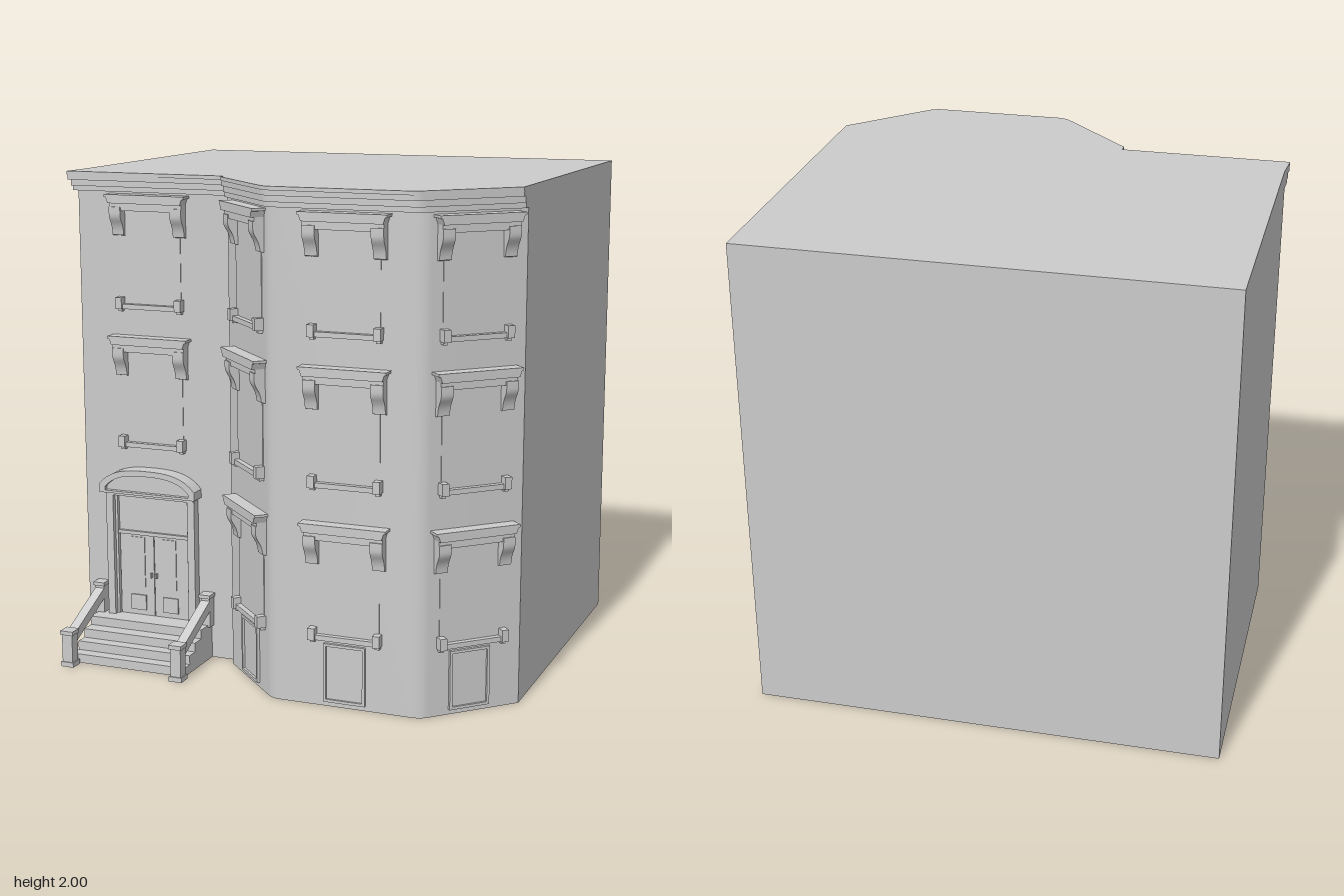
import * as THREE from 'three';
import { toCreasedNormals } from 'three/addons/utils/BufferGeometryUtils.js';

const mat = new THREE.MeshStandardMaterial({ color: 0xcccccc, side: THREE.DoubleSide });
const WALL_Z = 0.425;   // entrance wall
const BAY_Z = 0.775;    // front of the bay

function add(parent, name, geo, x = 0, y = 0, z = 0) {
  const m = new THREE.Mesh(geo, mat);
  m.name = name;
  m.position.set(x, y, z);
  parent.add(m);
  return m;
}

// Box given by its centre x, its y range and its z range
function block(parent, name, w, x, y0, y1, z0, z1) {
  return add(parent, name, new THREE.BoxGeometry(w, y1 - y0, z1 - z0), x, (y0 + y1) / 2, (z0 + z1) / 2);
}

function extrude(shape, depth) {
  const g = new THREE.ExtrudeGeometry(shape, { depth, bevelEnabled: false, curveSegments: 10 });
  return toCreasedNormals(g, 0.6);
}

// Horizontal slab in the house plan, its street side pushed out by d
function planSlab(y0, y1, d) {
  const k = d * 0.85;                       // shift of the slanted bay sides along z
  const f = BAY_Z + d, lx = f - 0.74 - k, rx = 1.42 + k - f;
  const s = new THREE.Shape();
  const p = (x, z) => s.lineTo(x, -z);
  s.moveTo(-0.955, 0.855);
  p(0.945, -0.855);
  p(0.945, 0.475 + k);
  p(rx + 0.025, f - 0.025);
  s.quadraticCurveTo(rx, -f, rx - 0.035, -f);
  p(lx + 0.035, f);
  s.quadraticCurveTo(lx, -f, lx - 0.025, -(f - 0.025));
  p(-0.27, 0.47 + k);
  p(-0.27, WALL_Z + d);
  p(-0.955 - d * 0.13, WALL_Z + d);
  p(-0.955, 0.38);
  const g = extrude(s, y1 - y0);
  g.rotateX(-Math.PI / 2);
  g.translate(0, y0, 0);
  return g;
}

// Group lying on a wall, local +z pointing out of it
function onWall(parent, name, x, y, z, turn) {
  const g = new THREE.Group();
  g.name = name;
  g.position.set(x, y, z);
  g.rotation.y = turn;
  parent.add(g);
  return g;
}

// Scrolled bracket, side profile extruded across its width
function bracketGeometry(w) {
  const s = new THREE.Shape();
  s.moveTo(-0.005, 0);
  s.lineTo(0.045, 0);
  s.lineTo(0.045, -0.025);
  s.bezierCurveTo(0.045, -0.06, 0.02, -0.06, 0.016, -0.115);
  s.lineTo(-0.005, -0.12);
  const g = extrude(s, w);
  g.rotateY(-Math.PI / 2);
  g.translate(w / 2, 0, 0);
  return g;
}

// Window with hood, brackets and sill; origin at the top of the hood
function addWindow(parent, x, top, z, turn) {
  const g = onWall(parent, 'window', x, top, z, turn);
  block(g, 'windowPane', 0.27, 0, -0.45, -0.06, -0.01, 0.003);
  // hood with a flared top moulding
  const flare = new THREE.Shape();
  flare.moveTo(-0.16, -0.035);
  flare.lineTo(0.16, -0.035);
  flare.lineTo(0.168, -0.012);
  flare.lineTo(0.176, -0.01);
  flare.lineTo(0.176, 0);
  flare.lineTo(-0.176, 0);
  flare.lineTo(-0.176, -0.01);
  flare.lineTo(-0.168, -0.012);
  add(g, 'hoodMoulding', extrude(flare, 0.06), 0, 0, -0.005);
  block(g, 'hoodBand', 0.32, 0, -0.065, -0.035, -0.005, 0.04);
  block(g, 'sill', 0.29, 0, -0.465, -0.445, -0.005, 0.025);
  for (const s of [-1, 1]) {
    add(g, 'bracket', bracketGeometry(0.05), s * 0.135, -0.05, 0);
    block(g, 'sillBlock', 0.028, s * 0.132, -0.465, -0.418, -0.005, 0.036);
    block(g, 'sillFoot', 0.018, s * 0.132, -0.476, -0.465, -0.005, 0.02);
  }
}

// Basement window: a thin frame round a flush pane
function addBasementWindow(parent, x, z, turn) {
  const g = onWall(parent, 'basementWindow', x, 0, z, turn);
  const s = new THREE.Shape();
  const rect = (p, w, y0, y1) => p.setFromPoints([[-w, y0], [w, y0], [w, y1], [-w, y1]].map(a => new THREE.Vector2(...a)));
  rect(s, 0.085, 0.02, 0.255);
  s.holes.push(rect(new THREE.Path(), 0.074, 0.031, 0.244));
  add(g, 'basementFrame', extrude(s, 0.017), 0, 0, -0.005);
  block(g, 'basementPane', 0.148, 0, 0.031, 0.244, -0.005, 0.003);
}

// Segmental arch outline: half width w, from y0, springing at ys, peak near yp
function archShape(w, y0, ys, yp) {
  const s = new THREE.Shape();
  s.moveTo(-w, y0);
  s.lineTo(w, y0);
  s.lineTo(w, ys);
  s.bezierCurveTo(w * 0.75, yp, w * 0.3, yp, 0, yp);
  s.bezierCurveTo(-w * 0.3, yp, -w * 0.75, yp, -w, ys);
  s.closePath();
  return s;
}

function addDoor(parent) {
  const g = onWall(parent, 'entrance', -0.642, 0, WALL_Z, 0);
  // arched hood
  const band = archShape(0.217, 0.68, 0.715, 0.785);
  band.holes.push(archShape(0.19, 0.69, 0.705, 0.762));
  add(g, 'archHood', extrude(band, 0.075), 0, 0, -0.005);
  add(g, 'archInfill', extrude(archShape(0.195, 0.685, 0.708, 0.768), 0.055), 0, 0, -0.005);
  block(g, 'lintel', 0.4, 0, 0.665, 0.685, -0.005, 0.045);
  block(g, 'transom', 0.325, 0, 0.51, 0.665, -0.005, 0.004);
  block(g, 'transomBar', 0.325, 0, 0.495, 0.51, -0.005, 0.016);
  for (const s of [-1, 1]) {
    block(g, 'pilaster', 0.032, s * 0.186, 0.14, 0.67, -0.005, 0.04);
    block(g, 'pilasterTrim', 0.012, s * 0.166, 0.14, 0.67, -0.005, 0.02);
    block(g, 'doorLeaf', 0.155, s * 0.079, 0.147, 0.495, -0.005, 0.008);
    block(g, 'upperPanel', 0.06, s * 0.072, 0.27, 0.485, 0, 0.012);
    block(g, 'lowerPanel', 0.07, s * 0.074, 0.17, 0.235, 0, 0.014);
    block(g, 'doorHandle', 0.007, s * 0.012, 0.315, 0.335, 0, 0.02);
  }
}

function addStoop(parent) {
  const g = onWall(parent, 'stoop', -0.64, 0, 0, 0);
  // steps, each running back to the wall
  [0.69, 0.64, 0.59, 0.53].forEach((z, i) => {
    block(g, 'step', 0.51, 0, i * 0.037, (i + 1) * 0.037, WALL_Z - 0.01, z);
  });
  for (const s of [-1, 1]) {
    const x = s * 0.245;
    block(g, 'newelPost', 0.046, x, 0, 0.135, 0.705, 0.751);
    block(g, 'newelBase', 0.056, x, 0, 0.02, 0.7, 0.756);
    block(g, 'newelCap', 0.056, x, 0.135, 0.152, 0.7, 0.756);
    block(g, 'wallPost', 0.04, x, 0.14, 0.265, WALL_Z - 0.005, 0.465);
    block(g, 'wallPostCap', 0.05, x, 0.265, 0.28, WALL_Z - 0.005, 0.475);
    // sloping handrail
    const dy = 0.125, dz = 0.27;
    const rail = add(g, 'handrail', new THREE.BoxGeometry(0.04, 0.04, Math.hypot(dy, dz)), x, 0.178, 0.58);
    rail.rotation.x = Math.atan2(dy, dz);
  }
}

export function createModel() {
  const house = new THREE.Group();
  house.name = 'townHouse';

  add(house, 'walls', planSlab(0, 1.92, 0));
  // stepped cornice closing the roof
  for (const [y0, y1, d] of [[1.92, 1.94, 0.035], [1.94, 1.965, 0.048], [1.965, 1.985, 0.07], [1.985, 2, 0.075]]) {
    add(house, 'cornice', planSlab(y0, y1, d));
  }

  // bay windows on three faces
  const faces = [[-0.11, 0.63, -Math.PI / 4], [0.345, BAY_Z, 0], [0.795, 0.625, Math.PI / 4]];
  for (const [x, z, turn] of faces) {
    for (const top of [1.91, 1.335, 0.735]) addWindow(house, x, top, z, turn);
    addBasementWindow(house, x - 0.005, z + (turn < 0 ? -0.005 : turn > 0 ? 0.005 : 0), turn);
  }
  // windows above the entrance
  for (const top of [1.91, 1.335]) addWindow(house, -0.635, top, WALL_Z, 0);

  addDoor(house);
  addStoop(house);
  return house;
}
